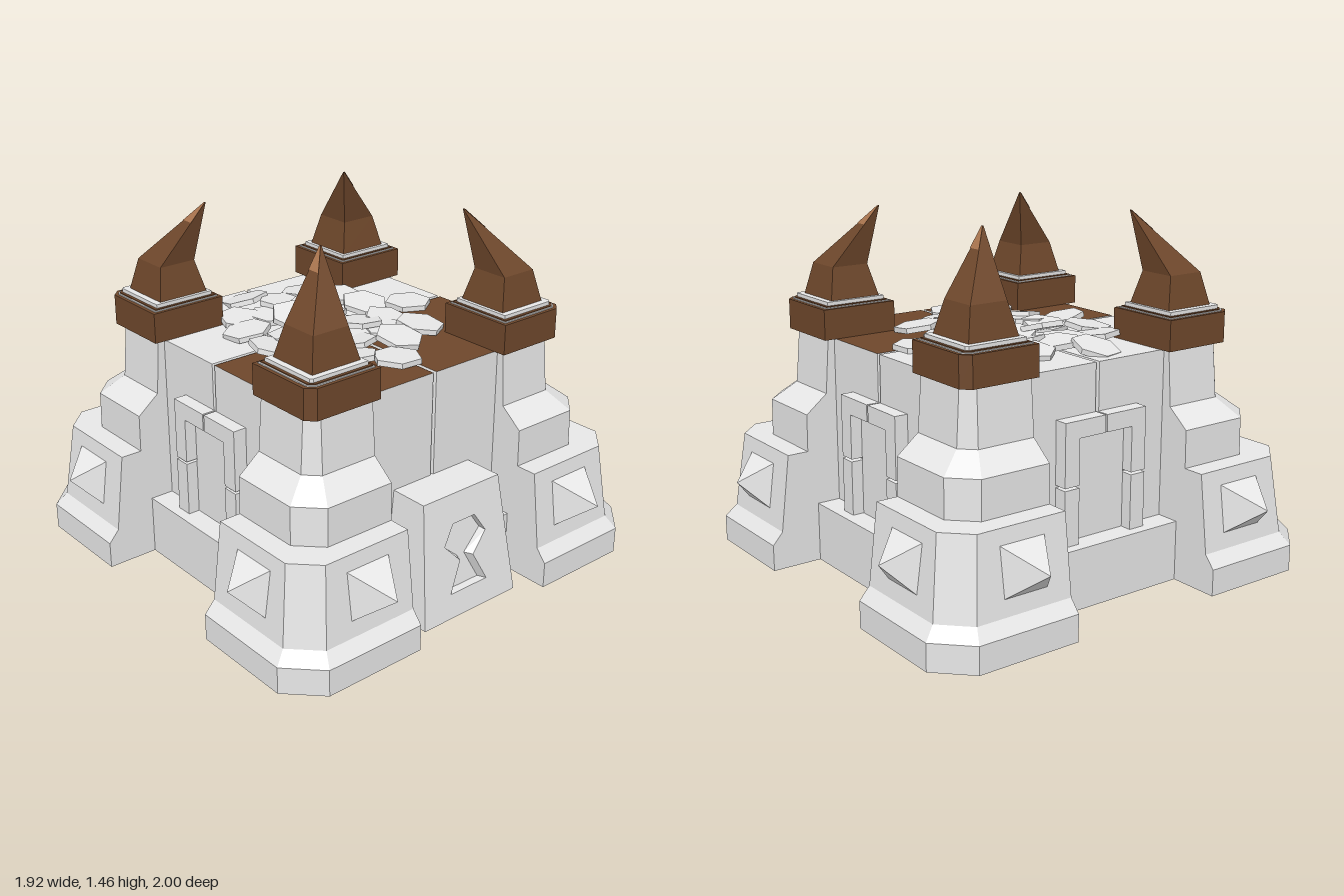
import * as THREE from 'three';

const mat = (name, color) => {
  const m = new THREE.MeshStandardMaterial({ color, side: THREE.DoubleSide });
  m.name = name;
  return m;
};

// Flat-shaded skin over a stack of rings (counterclockwise from above).
// 'solid' closes the rings and caps both ends; 'strip' leaves the section open.
function loft(rings, kind = 'solid') {
  const pos = [];
  const tri = (a, b, c) => pos.push(...a, ...b, ...c);
  const n = rings[0].length;
  const solid = kind === 'solid';
  for (let r = 0; r < rings.length - 1; r++) {
    const a = rings[r], b = rings[r + 1];
    for (let j = 0; j < (solid ? n : n - 1); j++) {
      const k = (j + 1) % n;
      tri(a[j], a[k], b[k]);
      tri(a[j], b[k], b[j]);
    }
  }
  const top = rings[rings.length - 1], low = rings[0];
  for (let j = 1; solid && j < n - 1; j++) {
    tri(top[0], top[j], top[j + 1]);
    tri(low[0], low[j + 1], low[j]);
  }
  const g = new THREE.BufferGeometry();
  g.setAttribute('position', new THREE.Float32BufferAttribute(pos, 3));
  g.computeVertexNormals();
  return g;
}

// Square section from i to o in x and z, outer corner cut by c.
const corner = (y, i, o, c) => [[i, y, o], [o - c, y, o], [o, y, o - c], [o, y, i], [i, y, i]];
const square = (y, a, b) => [[a, y, b], [b, y, b], [b, y, a], [a, y, a]];
const slab = (y0, y1, i, o, c) => loft([corner(y0, i, o, c), corner(y1, i, o, c)]);
// Open tower section: the sides run inwards until they meet the body.
const shell = (y, o, c) => [[0.34, y, 0.59], ...corner(y, 0.34, o, c).slice(0, 4), [0.59, y, 0.34]];

const box = (x0, x1, y0, y1, z0, z1) => new THREE.BoxGeometry(x1 - x0, y1 - y0, z1 - z0)
  .translate((x0 + x1) / 2, (y0 + y1) / 2, (z0 + z1) / 2);

const shapeOf = pts => new THREE.Shape(pts.map(p => new THREE.Vector2(...p)));

export function createModel() {
  const stone = mat('stone', 0xe7e7e7);
  const brown = mat('brown', 0x6e472b);
  const tan = mat('tan', 0xa9744e);
  const root = new THREE.Group();
  root.name = 'fortress';
  const add = (parent, name, geo, material = stone) => {
    const m = new THREE.Mesh(geo, material);
    m.name = name;
    parent.add(m);
    return m;
  };

  const towerRows = [
    [0, 0.914, 0.132], [0.11, 0.914, 0.132], [0.16, 0.87, 0.11], [0.48, 0.83, 0.1],
    [0.48, 0.74, 0.095], [0.635, 0.738, 0.095], [0.71, 0.645, 0.055], [0.94, 0.628, 0.045],
  ];
  const s = 0.008, d = 0.03, w = 0.6, h = 0.935;

  // Four quarters, each turned around the centre
  for (let i = 0; i < 4; i++) {
    const quarter = new THREE.Group();
    quarter.name = 'quarter';
    quarter.rotation.y = i * Math.PI / 2;
    root.add(quarter);

    // Body walls and roof with V-shaped seams; the two front roof quarters are brown
    const wall = (y, yEnd) => [[0, yEnd, w - d], [s, y, w], [w, y, w], [w, y, s], [w - d, yEnd, 0]];
    add(quarter, 'bodyWall', loft([wall(0, 0), wall(h, h - d)], 'strip'));
    add(quarter, 'roofSeam', loft([
      [[w - d, h - d, 0], [0, h - d, 0], [0, h - d, w - d]],
      [[w, h, s], [s, h, s], [s, h, w]],
    ], 'strip'));
    const roof = i === 0 || i === 3 ? brown : stone;
    add(quarter, 'roof', loft([square(h, s, w)]), roof);

    // Footing between two towers
    add(quarter, 'footing', loft([
      [[-0.35, 0, 0.7], [0.35, 0, 0.7]],
      [[-0.35, 0.248, 0.7], [0.35, 0.248, 0.7]],
      [[-0.35, 0.248, 0.59], [0.35, 0.248, 0.59]],
    ], 'strip'));

    // Stepped corner tower with a layered collar
    add(quarter, 'towerWall', loft(towerRows.map(row => shell(...row)), 'strip'));
    add(quarter, 'towerCollar', slab(0.935, 1.06, 0.322, 0.652, 0.035), brown);
    add(quarter, 'collarTrim', slab(1.05, 1.064, 0.336, 0.637, 0.025));
    add(quarter, 'collarInset', slab(1.05, 1.068, 0.342, 0.63, 0.02), brown);
    add(quarter, 'towerCap', slab(1.05, 1.083, 0.353, 0.618, 0.01));

    // Horn leaning towards the middle
    add(quarter, 'horn', loft([
      square(1.08, 0.367, 0.592), square(1.213, 0.4, 0.562), square(1.455, 0.36, 0.363),
    ]), brown);
    // Light tip on the horn's sideways face
    const sideways = ([x, y, z]) => (i % 2 === 0 ? [x, y, z] : [z, y, x]);
    add(quarter, 'hornTip', loft([
      [[0.428, 1.38, 0.425], [0.428, 1.38, 0.372]].map(sideways),
      [[0.366, 1.456, 0.363], [0.366, 1.456, 0.36]].map(sideways),
    ], 'strip'), tan);

    // One spike on each outer face; front and back ones are longer
    for (const face of [0, 1]) {
      const tip = (face + i) % 2 === 0 ? 1.0 : 0.96;
      const base = 0.845;
      const g = new THREE.ConeGeometry(0.1 * Math.SQRT2, tip - base, 4, 1, true).toNonIndexed();
      g.rotateY(Math.PI / 4);
      g.translate(0, (tip - base) / 2, 0);
      g.rotateX(Math.PI / 2 - 0.1);
      g.computeVertexNormals();
      g.translate(0, 0.32, base);
      if (face === 1) g.rotateY(Math.PI / 2);
      const along = (face + i) % 2 === 0 ? 0.54 : 0.555;
      g.translate(face === 0 ? along : 0, 0, face === 1 ? along : 0);
      add(quarter, 'spike', g);
    }
  }

  // Window frames on both sides and the back
  for (const turn of [1, 2, 3]) {
    const frame = new THREE.Group();
    frame.name = 'windowFrame';
    frame.rotation.y = turn * Math.PI / 2;
    root.add(frame);
    add(frame, 'windowPanel', box(-0.13, 0.13, 0.24, 0.67, 0.59, 0.608));
    for (const side of [1, -1]) {
      const pts = [[0.004, 0.74], [0.2, 0.74], [0.2, 0.484], [0.13, 0.484], [0.13, 0.67], [0.004, 0.67]];
      const lintel = new THREE.ExtrudeGeometry(shapeOf(pts.map(([x, y]) => [x * side, y])), { depth: 0.06, bevelEnabled: false });
      add(frame, 'frameLintel', lintel.translate(0, 0, 0.597));
      const xs = side > 0 ? [0.13, 0.2] : [-0.2, -0.13];
      add(frame, 'framePost', box(...xs, 0.24, 0.474, 0.597, 0.657));
    }
  }

  // Sloping gate block with a sunken keyhole whose lower sides taper inwards
  const gateOutline = [[-0.245, 0], [0.245, 0], [0.2, 0.5], [-0.2, 0.5]];
  const keyhole = [
    [-0.058, 0.38], [0.058, 0.38], [0.11, 0.3], [0.035, 0.222],
    [0.097, 0.1], [-0.097, 0.1], [-0.035, 0.222], [-0.11, 0.3],
  ];
  const lean = (shape, zBack, zFront) => {
    const g = new THREE.ExtrudeGeometry(shape, { depth: 1, bevelEnabled: false });
    const p = g.attributes.position;
    for (let k = 0; k < p.count; k++) {
      const y = p.getY(k), front = p.getZ(k) > 0.5;
      p.setZ(k, front ? zFront(y) : zBack(y));
      if (!front && y > 0.05 && y < 0.25) p.setX(k, p.getX(k) - Math.sign(p.getX(k)) * 0.016);
    }
    g.computeVertexNormals();
    return g;
  };
  const frontZ = y => 0.84 - 0.15 * y;
  const recessZ = y => frontZ(y) - 0.035;
  add(root, 'gateBlock', lean(shapeOf(gateOutline), () => 0.59, recessZ));
  const facing = shapeOf(gateOutline);
  facing.holes.push(shapeOf(keyhole));
  add(root, 'gateFacing', lean(facing, recessZ, frontZ));

  // Loose heap of hexagonal discs on the roof: x, z, height
  const discs = [
    [-0.1, -0.47, 0.952], [0.15, -0.38, 0.955], [-0.01, -0.33, 0.96], [0.24, -0.25, 0.955], [-0.25, -0.29, 0.952],
    [-0.32, -0.16, 0.955], [-0.1, -0.13, 0.975], [0.23, -0.07, 0.97], [0.425, -0.01, 0.945], [-0.34, 0.04, 0.952],
    [-0.18, 0.09, 0.955], [0.07, 0.08, 0.97], [-0.24, 0.22, 0.952], [0.21, 0.1, 0.955], [-0.07, 0.2, 0.955],
    [-0.17, 0.32, 0.96], [0.09, 0.3, 0.965], [0.26, 0.24, 0.96], [-0.04, 0.43, 0.952], [0.03, -0.1, 0.96],
    [0.13, 0.19, 0.955], [-0.2, -0.02, 0.952], [0.08, -0.22, 0.955], [0.02, 0, 0.948], [-0.12, -0.25, 0.948],
    [0.0, 0.12, 0.948],
  ];
  let seed = 7;
  const rand = () => (seed = (seed * 16807) % 2147483647) / 2147483647;
  const heap = new THREE.Group();
  heap.name = 'discHeap';
  root.add(heap);
  const discGeo = new THREE.CylinderGeometry(0.1, 0.1, 0.022, 6).toNonIndexed();
  discGeo.computeVertexNormals();
  for (const [x, z, y] of discs) {
    const disc = add(heap, 'disc', discGeo);
    const tilt = y < 0.95 ? 0 : 0.5;
    disc.position.set(x, y, z);
    disc.rotation.set((rand() - 0.5) * tilt, rand() * Math.PI, (rand() - 0.5) * tilt);
  }
  return root;
}
